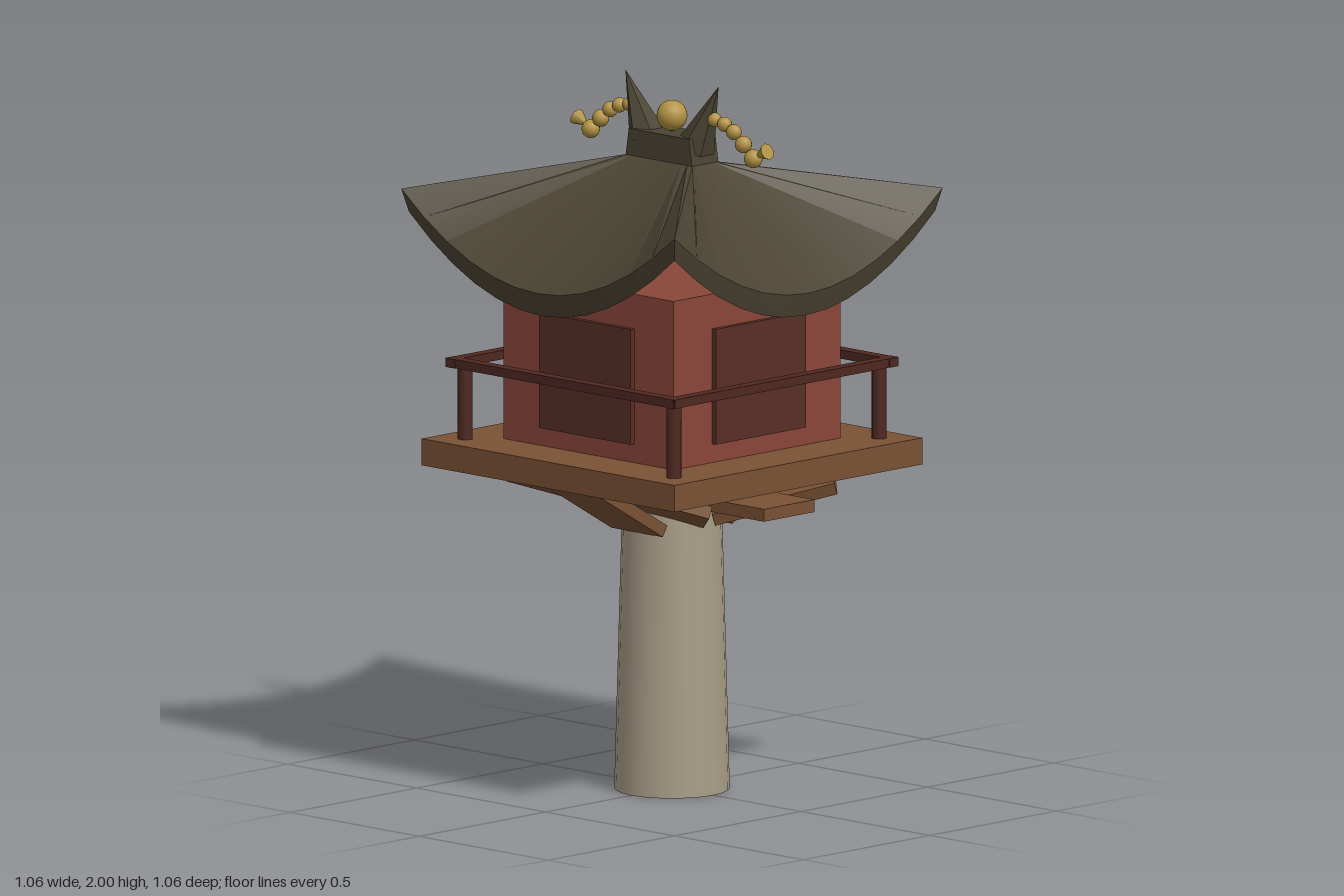
import * as THREE from 'three';
import { toCreasedNormals } from 'three/addons/utils/BufferGeometryUtils.js';

function material(name, color) {
  const m = new THREE.MeshStandardMaterial({ color });
  m.name = name;
  return m;
}

// Four-sided roof with upturned corners, skinned through closed rings
function roofGeometry() {
  const steps = 12;
  const ring = (hx, hz, height) => {
    const points = [];
    for (let side = 0; side < 4; side++) {
      for (let i = 0; i < steps; i++) {
        const u = -1 + (2 * i) / steps;
        const [x, z] = [[u, 1], [1, -u], [-u, -1], [-1, u]][side];
        points.push([x * hx, height(u), z * hz]);
      }
    }
    return points;
  };
  const rings = [
    ring(0.13, 0.052, () => 1.775),
    ring(0.53, 0.53, (u) => 1.465 + 0.225 * u * u),
    ring(0.515, 0.515, (u) => 1.4 + 0.225 * u * u),
    ring(0.002, 0.002, () => 1.58),
  ];
  const positions = [];
  const n = steps * 4;
  for (let r = 0; r < rings.length - 1; r++) {
    for (let i = 0; i < n; i++) {
      const j = (i + 1) % n;
      const a = rings[r][i], b = rings[r][j], c = rings[r + 1][i], d = rings[r + 1][j];
      positions.push(...a, ...c, ...d, ...a, ...d, ...b);
    }
  }
  const g = new THREE.BufferGeometry();
  g.setAttribute('position', new THREE.Float32BufferAttribute(positions, 3));
  return toCreasedNormals(g, 0.5);
}

export function createModel() {
  const model = new THREE.Group();
  model.name = 'watchtower';

  const stone = material('pale stone', 0xa89d87);
  const wood = material('brown wood', 0x7a5234);
  const red = material('red wall', 0x8a463a);
  const panel = material('dark red panel', 0x592e25);
  const railWood = material('dark rail wood', 0x4f2821);
  const tile = material('dark olive roof', 0x4a4332);
  const gold = material('gold', 0xb39344);

  const add = (name, geometry, mat, x = 0, y = 0, z = 0, parent = model) => {
    const mesh = new THREE.Mesh(geometry, mat);
    mesh.name = name;
    mesh.position.set(x, y, z);
    parent.add(mesh);
    return mesh;
  };
  const box = (w, h, d) => new THREE.BoxGeometry(w, h, d);

  // Pillar and platform
  add('pillar', new THREE.CylinderGeometry(0.135, 0.16, 0.92, 24), stone, 0, 0.46, 0);
  add('platform', box(0.98, 0.075, 0.98), wood, 0, 0.9475, 0);

  // Eight plank braces around the pillar, tilted about the x axis only
  for (let i = 0; i < 8; i++) {
    const a = (i * Math.PI) / 4;
    const brace = add('brace', box(0.2, 0.035, 0.35), wood,
      Math.sin(a) * 0.28, 0.842, Math.cos(a) * 0.28);
    brace.rotation.set(-0.53 * Math.cos(a), a, 0);
  }

  // Cabin
  add('cabin', box(0.66, 0.475, 0.66), red, 0, 1.2225, 0);

  // Window panel, rail and corner post for each side
  for (let i = 0; i < 4; i++) {
    const side = new THREE.Group();
    side.name = 'side';
    side.rotation.y = (i * Math.PI) / 2;
    model.add(side);
    add('windowPanel', box(0.355, 0.325, 0.03), panel, 0, 1.2, 0.33, side);
    add('rail', box(0.89, 0.025, 0.035), railWood, 0, 1.2, 0.425, side);
    add('railPost', new THREE.CylinderGeometry(0.021, 0.021, 0.215, 10), railWood,
      0.405, 1.09, 0.405, side);
  }

  // Roof and ridge block
  add('roof', roofGeometry(), tile);
  const ridge = box(0.26, 0.085, 0.104);
  const p = ridge.attributes.position;
  for (let i = 0; i < p.count; i++) {
    if (p.getY(i) > 0) p.setX(i, p.getX(i) * 0.9);
  }
  ridge.computeVertexNormals();
  add('ridgeBlock', ridge, tile, 0, 1.8075, 0);

  // Gold ball on the ridge
  add('ridgeBall', new THREE.SphereGeometry(0.043, 20, 14), gold, 0, 1.895, 0);

  // Mirrored horns and drooping bead chains
  const beads = [[0.165, 1.905, 0.02], [0.204, 1.897, 0.021], [0.24, 1.88, 0.022],
    [0.277, 1.85, 0.024], [0.315, 1.815, 0.026]];
  const hornGeometry = toCreasedNormals(new THREE.ConeGeometry(0.055, 0.2, 6), 0.3);
  for (const s of [-1, 1]) {
    const horn = add('horn', hornGeometry, tile, s * 0.137, 1.91, 0);
    horn.rotation.z = -s * 0.45;
    for (const [x, y, r] of beads) {
      add('bead', new THREE.SphereGeometry(r, 14, 10), gold, s * x, y, 0);
    }
    const tail = add('chainTip', new THREE.ConeGeometry(0.024, 0.05, 8), gold, s * 0.347, 1.832, 0);
    tail.rotation.z = s * 2.0;
  }
  return model;
}
